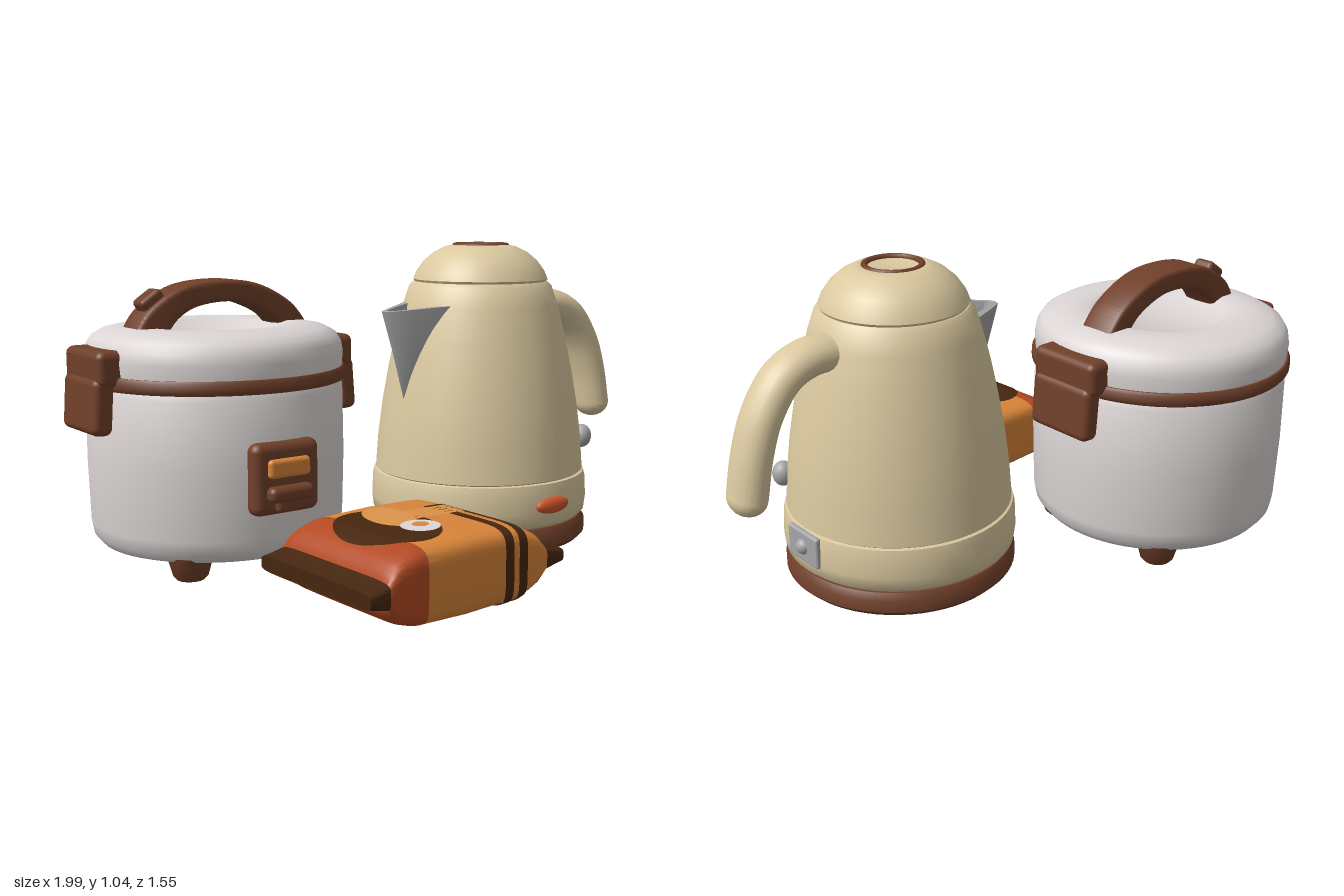
import * as THREE from 'three';
import { toCreasedNormals } from 'three/addons/utils/BufferGeometryUtils.js';
import { RoundedBoxGeometry } from 'three/addons/geometries/RoundedBoxGeometry.js';

const paint = (name, color, side = THREE.FrontSide) => {
  const m = new THREE.MeshStandardMaterial({ color, side });
  m.name = name;
  return m;
};
const white = paint('white', 0xdcd5d5);
const cream = paint('cream', 0xdac89f);
const brown = paint('brown', 0x70402a);
const dark = paint('dark brown', 0x46260f, THREE.DoubleSide);
const orange = paint('orange', 0xd9853a, THREE.DoubleSide);
const rust = paint('rust', 0xb34a22, THREE.DoubleSide);
const red = paint('switch red', 0xd0582a);
const grey = paint('grey', 0xa6a6a8, THREE.DoubleSide);
const noodle = paint('noodle', 0xdb934b, THREE.DoubleSide);

function add(parent, name, geo, mat, x = 0, y = 0, z = 0) {
  const mesh = new THREE.Mesh(geo, mat);
  mesh.name = name;
  mesh.position.set(x, y, z);
  parent.add(mesh);
  return mesh;
}
const group = (parent, name, x, z) => {
  const g = new THREE.Group();
  g.name = name;
  g.position.set(x, 0, z);
  parent.add(g);
  return g;
};
const lathe = (pts) => toCreasedNormals(
  new THREE.LatheGeometry(pts.map(([r, y]) => new THREE.Vector2(r, y)), 64), 0.75);
const box = (w, h, d, r) => new RoundedBoxGeometry(w, h, d, 4, r);

// Skin between cross-sections holding equal numbers of points
function loft(rings, crease = 0.6) {
  const n = rings[0].length, pos = rings.flat(2), idx = [];
  for (let i = 0; i < rings.length - 1; i++) {
    for (let j = 0; j < n - 1; j++) {
      const a = i * n + j, b = a + n;
      idx.push(a, b, a + 1, b, b + 1, a + 1);
    }
  }
  const g = new THREE.BufferGeometry();
  g.setAttribute('position', new THREE.Float32BufferAttribute(pos, 3));
  g.setIndex(idx);
  return toCreasedNormals(g, crease);
}

function buildKettle(root) {
  const k = group(root, 'kettle', 0.37, -0.005);
  add(k, 'baseRing', lathe([[0.27, 0.06], [0.27, 0.025], [0.29, 0.01], [0.36, 0.01], [0.38, 0.03],
    [0.38, 0.07], [0.365, 0.092], [0.25, 0.095]]), brown);
  add(k, 'underside', new THREE.CircleGeometry(0.29, 48).rotateX(Math.PI / 2), grey, 0, 0.045, 0);
  add(k, 'lowerBand', lathe([[0.25, 0.09], [0.355, 0.09], [0.378, 0.11], [0.383, 0.15], [0.38, 0.22],
    [0.374, 0.245], [0.355, 0.25]]), cream);
  add(k, 'body', lathe([[0.35, 0.238], [0.369, 0.252], [0.361, 0.36], [0.346, 0.48], [0.325, 0.6],
    [0.3, 0.72], [0.272, 0.83], [0.25, 0.895], [0.235, 0.91], [0.2, 0.91]]), cream);
  add(k, 'lid', lathe([[0.2, 0.9], [0.228, 0.905], [0.236, 0.918], [0.225, 0.945], [0.2, 0.98],
    [0.165, 1.01], [0.125, 1.03], [0.1, 1.036], [0.08, 1.03], [0, 1.028]]), cream);
  add(k, 'lidRing', new THREE.TorusGeometry(0.09, 0.011, 8, 48).rotateX(Math.PI / 2), brown, 0, 1.032, 0);

  // Handle arching out and down, flattened front to back
  const h = group(k, 'handle', 0, 0);
  const path = new THREE.CatmullRomCurve3([[0.22, 0.81], [0.33, 0.812], [0.42, 0.775], [0.495, 0.68],
    [0.54, 0.56], [0.567, 0.43]].map(([x, y]) => new THREE.Vector3(x, y, 0)));
  add(h, 'handleArch', new THREE.TubeGeometry(path, 40, 0.058, 20), cream);
  add(h, 'handleTip', new THREE.SphereGeometry(0.058, 20, 14), cream, 0.567, 0.43, 0);
  h.scale.z = 1.28;

  // Open V-shaped spout with thick walls
  const rings = [0, 0.25, 0.5, 0.75, 1].map((t) => {
    const tip = -0.34 - 0.085 * t, w = 0.025 + 0.1 * t, back = -0.24, y = 0.52 + 0.3 * t;
    const q = tip * 0.6 + back * 0.4;
    const outer = [[back, w], [q, w * 0.5], [tip + 0.01, w * 0.18], [tip, 0],
      [tip + 0.01, -w * 0.18], [q, -w * 0.5], [back, -w]];
    const inner = outer.map(([x, z]) => [x + 0.022, z * 0.85]).reverse();
    return [...outer, ...inner, outer[0]].map(([x, z]) => [x, y + 0.1 * t * (x - tip), z]);
  });
  const n = rings[0].length;
  rings.push(rings[4].map((p, i) => i < 7 || i === n - 1 ? rings[4][13 - (i % (n - 1))] : p));
  add(k, 'spout', loft(rings), grey);

  // Controls
  const sw = add(k, 'switch', new THREE.SphereGeometry(1, 24, 16), red, 0.005, 0.172, 0.378);
  sw.scale.set(0.073, 0.029, 0.022);
  const knob = add(k, 'knob', new THREE.SphereGeometry(0.042, 20, 14), grey, 0.312, 0.35, 0.205);
  knob.scale.set(0.85, 1, 0.85);
  add(k, 'sidePlate', box(0.02, 0.105, 0.155, 0.008), grey, 0.378, 0.195, 0);
  add(k, 'sideButton', new THREE.SphereGeometry(0.027, 16, 12), grey, 0.38, 0.195, 0);
}

function buildCooker(root) {
  const c = group(root, 'riceCooker', -0.505, -0.345);
  add(c, 'pot', lathe([[0, 0.06], [0.35, 0.06], [0.39, 0.07], [0.415, 0.1], [0.422, 0.14], [0.428, 0.35],
    [0.425, 0.58], [0.41, 0.61]]), white);
  add(c, 'band', lathe([[0.4, 0.6], [0.43, 0.6], [0.437, 0.61], [0.437, 0.635], [0.43, 0.645],
    [0.4, 0.645]]), brown);
  add(c, 'lid', lathe([[0.4, 0.64], [0.424, 0.645], [0.428, 0.69], [0.422, 0.725], [0.405, 0.752],
    [0.37, 0.772], [0.31, 0.784], [0.25, 0.784], [0.22, 0.775], [0.19, 0.755], [0, 0.755]]), white);

  // Arched lid handle
  const v = (x, y) => new THREE.Vector2(x, y);
  const arch = new THREE.Shape();
  arch.moveTo(-0.3, 0.76);
  arch.splineThru([v(-0.25, 0.83), v(-0.14, 0.896), v(0, 0.915), v(0.13, 0.9), v(0.25, 0.84), v(0.32, 0.76)]);
  arch.lineTo(0.25, 0.76);
  arch.splineThru([v(0.19, 0.82), v(0.09, 0.864), v(0, 0.873), v(-0.1, 0.858), v(-0.17, 0.82), v(-0.22, 0.76)]);
  const archGeo = new THREE.ExtrudeGeometry(arch, { depth: 0.1, curveSegments: 32, bevelThickness: 0.015,
    bevelSize: 0.015, bevelSegments: 3 });
  add(c, 'lidHandle', toCreasedNormals(archGeo, 0.6), brown, 0, 0, -0.05);
  const button = add(c, 'lidButton', box(0.085, 0.05, 0.075, 0.015), brown, -0.235, 0.868, 0);
  button.rotation.z = 0.6;

  // Side grips
  for (const s of [-1, 1]) {
    add(c, 'gripTop', box(0.1, 0.115, 0.265, 0.025), brown, s * 0.425, 0.672, 0);
    const grip = add(c, 'grip', box(0.07, 0.18, 0.25, 0.025), brown, s * 0.455, 0.555, 0);
    grip.rotation.z = s * 0.07;
  }

  // Front panel with lamp and lever
  add(c, 'panel', box(0.24, 0.23, 0.08, 0.03), brown, 0, 0.335, 0.415);
  add(c, 'lamp', box(0.15, 0.06, 0.03, 0.014), orange, 0, 0.37, 0.457);
  add(c, 'lever', box(0.16, 0.05, 0.06, 0.02), brown, 0, 0.29, 0.46);
  add(c, 'leverStem', box(0.1, 0.05, 0.04, 0.015), brown, 0, 0.255, 0.455);

  // Feet
  for (const x of [-0.23, 0.23]) for (const z of [-0.23, 0.23]) {
    add(c, 'foot', lathe([[0, 0], [0.045, 0], [0.056, 0.012], [0.075, 0.08], [0, 0.08]]), brown, x, 0, z);
  }
}

// Half height of the packet along its length
const PROFILE = [[0, 0.122], [0.19, 0.116], [0.24, 0.1], [0.275, 0.08], [0.3, 0.042], [0.33, 0.034], [0.38, 0.022]];
function packHeight(x) {
  const a = Math.abs(x);
  for (let i = 1; i < PROFILE.length; i++) {
    const [x0, h0] = PROFILE[i - 1], [x1, h1] = PROFILE[i];
    if (a <= x1) return h0 + (h1 - h0) * (a - x0) / (x1 - x0);
  }
  return 0.022;
}
const MID = 0.132, DEPTH = 0.26;
const spow = (a, p) => Math.sign(a) * Math.abs(a) ** p;

function packSection(x0, x1, grow = 0, t0 = 0, t1 = Math.PI * 2) {
  const rings = [], steps = Math.ceil((x1 - x0) / 0.015);
  const ring = (x, k) => Array.from({ length: 57 }, (_, j) => {
    const t = t0 + (t1 - t0) * j / 56;
    return [x, MID + k * (packHeight(x) + grow) * spow(Math.sin(t), 0.35),
      k * (DEPTH + grow) * spow(Math.cos(t), 0.25)];
  });
  if (!grow) rings.push(ring(x0, 0));
  for (let i = 0; i <= steps; i++) rings.push(ring(x0 + (x1 - x0) * i / steps, 1));
  if (!grow) rings.push(ring(x1, 0));
  return loft(rings, 0.7);
}

// Lay a flat shape onto the packet's top face
function drape(geo, lift) {
  geo.rotateX(-Math.PI / 2);
  const p = geo.attributes.position;
  for (let i = 0; i < p.count; i++) {
    const s = Math.sqrt(Math.max(0, 1 - (p.getZ(i) / DEPTH) ** 8));
    p.setY(i, MID + packHeight(p.getX(i)) * s ** 0.35 + lift);
  }
  geo.computeVertexNormals();
  return geo;
}
const oval = (x, z, rx, rz, lift, turn = 0) => drape(
  new THREE.RingGeometry(0, 1, 40, 8).scale(rx, rz, 1).rotateZ(turn).translate(x, -z, 0), lift);

function buildPacket(root) {
  const p = group(root, 'noodlePacket', -0.31, 0.493);
  p.rotation.y = 0.045;
  add(p, 'rightSeal', packSection(-0.37, -0.3), dark);
  add(p, 'rustEnd', packSection(-0.3, -0.165), rust);
  add(p, 'wrapper', packSection(-0.165, 0.3), orange);
  add(p, 'leftSeal', packSection(0.3, 0.37), dark);

  // Printed stripes wrapping round the front and underside
  for (const x of [0.125, 0.18]) {
    add(p, 'stripe', packSection(x, x + 0.034, 0.004, -Math.PI, 1.586), dark);
  }
  // Printed bowl, noodles and egg
  add(p, 'bowl', oval(-0.115, 0.015, 0.14, 0.185, 0.004), dark);
  add(p, 'noodles', oval(-0.055, -0.05, 0.07, 0.115, 0.008, -0.2), noodle);
  for (let i = 0; i < 4; i++) {
    add(p, 'noodleStrand', drape(new THREE.PlaneGeometry(0.23, 0.021, 16, 1)
      .translate(0.06, 0.053 - i * 0.025, 0), 0.009), noodle);
  }
  add(p, 'stripeTop', drape(new THREE.PlaneGeometry(0.08, 0.025, 4, 1).translate(0.155, 0.08, 0), 0.005), dark);
  add(p, 'eggWhite', oval(-0.065, 0.105, 0.058, 0.06, 0.014), white);
  add(p, 'eggYolk', oval(-0.065, 0.105, 0.025, 0.025, 0.018), orange);
}

export function createModel() {
  const root = new THREE.Group();
  root.name = 'kitchenSet';
  buildKettle(root);
  buildCooker(root);
  buildPacket(root);
  return root;
}
